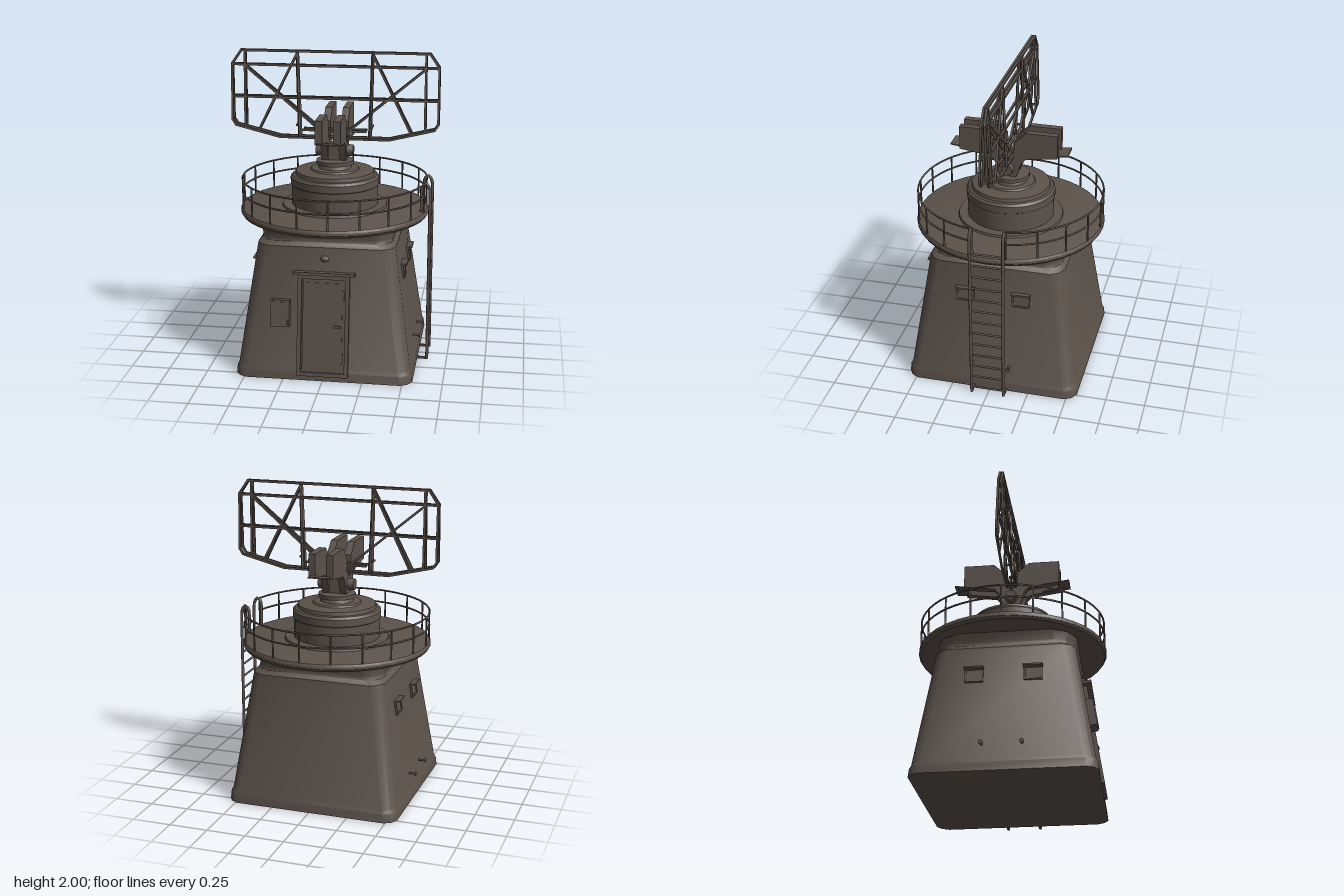
import * as THREE from 'three';
import { toCreasedNormals } from 'three/addons/utils/BufferGeometryUtils.js';

const paint = new THREE.MeshStandardMaterial({ color: 0x5c524b });
paint.name = 'dark brown grey';

const V = (x, y, z) => new THREE.Vector3(x, y, z);

function add(parent, geometry, name, x = 0, y = 0, z = 0) {
  const m = new THREE.Mesh(geometry, paint);
  m.name = name;
  m.position.set(x, y, z);
  parent.add(m);
  return m;
}

function group(parent, name) {
  const g = new THREE.Group();
  g.name = name;
  parent.add(g);
  return g;
}

const box = (parent, name, w, h, d, x, y, z) => add(parent, new THREE.BoxGeometry(w, h, d), name, x, y, z);

// Square bar between two points
function beam(parent, name, a, b, t) {
  const m = add(parent, new THREE.BoxGeometry(t, t, a.distanceTo(b) + t * 0.6), name);
  m.position.copy(a).lerp(b, 0.5);
  m.lookAt(b);
  return m;
}

function lathe(parent, name, points, segments) {
  const g = new THREE.LatheGeometry(points.map(p => new THREE.Vector2(p[0], p[1])), segments);
  return add(parent, toCreasedNormals(g, 0.6), name);
}

// Square tower with cut corners: rows of [height, half width, corner cut]
function towerGeometry(rows) {
  const pos = [], index = [];
  for (const [y, w, c] of rows) {
    for (let k = 0; k < 4; k++) {
      const a = k * Math.PI / 2, cs = Math.cos(a), sn = Math.sin(a);
      const corner = [[w, w - c], [w - c * 0.36, w - c * 0.36], [w - c, w]];
      for (const [x, z] of corner) pos.push(x * cs - z * sn, y, x * sn + z * cs);
    }
  }
  const n = 12;
  for (let r = 0; r < rows.length - 1; r++) {
    for (let i = 0; i < n; i++) {
      const a = r * n + i, b = r * n + (i + 1) % n;
      index.push(a, a + n, b, b, a + n, b + n);
    }
  }
  const top = (rows.length - 1) * n;
  for (let i = 1; i < n - 1; i++) {
    index.push(0, i, i + 1);
    index.push(top, top + i + 1, top + i);
  }
  const g = new THREE.BufferGeometry();
  g.setAttribute('position', new THREE.Float32BufferAttribute(pos, 3));
  g.setIndex(index);
  return toCreasedNormals(g, 0.6);
}

const SLOPE = Math.atan(0.11 / 0.76);
const wall = y => 0.545 - 0.11 * (y - 0.07) / 0.76;

// Group lying on a sloped wall, turned to one side of the tower
function onWall(parent, name, turn, x, y) {
  const side = group(parent, name);
  side.rotation.y = turn;
  const g = group(side, name + 'Mount');
  g.position.set(x, y, wall(y));
  g.rotation.x = -SLOPE;
  return g;
}

export function createModel() {
  const model = new THREE.Group();
  model.name = 'radarTower';

  // Tower and round platform
  add(model, towerGeometry([
    [0, 0.56, 0.07], [0.055, 0.555, 0.07], [0.075, 0.545, 0.07], [0.82, 0.437, 0.075],
    [0.84, 0.435, 0.08], [0.865, 0.412, 0.09], [0.885, 0.41, 0.1], [0.945, 0.435, 0.15],
  ]), 'towerBody');
  lathe(model, 'platform', [[0, 0.94], [0.575, 0.945], [0.595, 0.952], [0.606, 0.968], [0.606, 0.985],
    [0.598, 0.997], [0.585, 1.002], [0, 1.0]], 40);

  // Drum and turntable
  lathe(model, 'drum', [[0.34, 1.0], [0.335, 1.015], [0.278, 1.015], [0.278, 1.14], [0.285, 1.145], [0.285, 1.19],
    [0.272, 1.205], [0.255, 1.208], [0.25, 1.23], [0.235, 1.235], [0, 1.235]], 32);
  lathe(model, 'turntable', [[0.16, 1.232], [0.15, 1.245], [0.108, 1.248], [0.1, 1.268], [0.12, 1.273], [0.12, 1.298],
    [0.085, 1.305], [0, 1.305]], 24);

  // Door with frame, hood, lamp and cabinet
  const door = onWall(model, 'door', 0, 0, 0.35);
  box(door, 'doorPanel', 0.27, 0.6, 0.016, 0.005, 0, 0.004);
  box(door, 'doorInset', 0.23, 0.55, 0.01, 0.005, 0, 0.012);
  for (const s of [-1, 1]) box(door, 'doorJamb', 0.025, 0.64, 0.04, s * 0.15, 0, 0.005);
  box(door, 'doorSill', 0.32, 0.025, 0.04, 0, -0.31, 0.005);
  box(door, 'doorLintel', 0.32, 0.025, 0.04, 0, 0.31, 0.005);
  box(door, 'doorHood', 0.39, 0.018, 0.075, 0, 0.335, 0.02);
  box(door, 'doorHandle', 0.04, 0.015, 0.02, 0.09, 0, 0.022);
  for (const y of [-0.2, 0.2]) box(door, 'doorHinge', 0.012, 0.06, 0.015, 0.125, y, 0.018);
  const lamp = onWall(model, 'lamp', 0, 0, 0.77);
  const bulb = add(lamp, new THREE.SphereGeometry(0.028, 12, 8), 'lampBulb');
  bulb.scale.set(1, 0.7, 0.7);
  const cabinet = onWall(model, 'cabinet', 0, -0.27, 0.425);
  box(cabinet, 'cabinetBox', 0.12, 0.17, 0.06, 0, 0, 0.015);
  box(cabinet, 'cabinetDoor', 0.1, 0.15, 0.008, 0, 0, 0.047);

  // Vents with hoods and pegs on both side walls
  for (const s of [-1, 1]) {
    for (const z of [-0.18, 0.18]) {
      const vent = onWall(model, 'vent', s * Math.PI / 2, z, 0.64);
      box(vent, 'ventPane', 0.1, 0.075, 0.01, 0, 0, 0.002);
      for (const e of [-1, 1]) box(vent, 'ventSide', 0.01, 0.085, 0.02, e * 0.052, 0, 0.004);
      box(vent, 'ventSill', 0.11, 0.01, 0.02, 0, -0.042, 0.004);
      box(vent, 'ventHood', 0.12, 0.01, 0.05, 0, 0.044, 0.015);
    }
    for (const z of [-0.12, 0.12]) {
      const pin = add(model, new THREE.CylinderGeometry(0.007, 0.007, 0.06, 8), 'peg', s * 0.545, 0.17, z);
      pin.rotation.z = Math.PI / 2;
      const head = add(model, new THREE.CylinderGeometry(0.014, 0.014, 0.01, 8), 'pegHead', s * 0.572, 0.17, z);
      head.rotation.z = Math.PI / 2;
    }
  }

  // Railing, open at the ladder
  const railing = group(model, 'railing');
  const gap = 0.19, arc = Math.PI * 2 - gap * 2, R = 0.595;
  for (const y of [1.1, 1.183]) {
    const g = new THREE.TorusGeometry(R, 0.006, 6, 56, arc);
    g.rotateX(Math.PI / 2).rotateY(-gap);
    add(railing, g, 'rail', 0, y, 0);
  }
  for (let i = 0; i <= 18; i++) {
    const a = gap + arc * i / 18;
    add(railing, new THREE.CylinderGeometry(0.006, 0.006, 0.19, 6), 'railPost', R * Math.cos(a), 1.09, R * Math.sin(a));
  }

  // Ladder with hooped tops
  const ladder = group(model, 'ladder');
  for (const s of [-1, 1]) {
    const z = s * 0.105;
    const path = new THREE.CurvePath();
    const bend = new THREE.CatmullRomCurve3([V(0.622, 1.1, z), V(0.617, 1.155, z), V(0.595, 1.187, z), V(0.572, 1.165, z), V(0.568, 1.1, z)]);
    path.add(new THREE.LineCurve3(V(0.622, 0.005, z), V(0.622, 1.1, z)));
    path.add(bend);
    path.add(new THREE.LineCurve3(V(0.568, 1.1, z), V(0.568, 0.99, z)));
    add(ladder, new THREE.TubeGeometry(path, 60, 0.01, 8), 'ladderStringer');
    beam(ladder, 'ladderFoot', V(0.55, 0.008, z), V(0.625, 0.008, z), 0.014);
  }
  for (let i = 0; i < 13; i++) {
    const rung = add(ladder, new THREE.CylinderGeometry(0.007, 0.007, 0.21, 6), 'ladderRung', 0.62, 0.04 + i * 0.0825, 0);
    rung.rotation.x = Math.PI / 2;
  }

  // Yoke: two winged side plates, hub and feed tray
  const yoke = group(model, 'yoke');
  const half = [[0.05, 1.3], [0.065, 1.34], [0.085, 1.4], [0.115, 1.432], [0.315, 1.46], [0.315, 1.612], [0.115, 1.612], [0.04, 1.54], [0.035, 1.44]];
  const outline = [...half, ...half.slice().reverse().map(([z, y]) => [-z, y])];
  const plate = new THREE.ExtrudeGeometry(new THREE.Shape(outline.map(p => new THREE.Vector2(p[0], p[1]))), { depth: 0.045, bevelEnabled: false });
  plate.rotateY(Math.PI / 2);
  for (const s of [-1, 1]) {
    add(yoke, plate, 'wingPlate', s * 0.0575 - 0.0225, 0, 0);
    const hub = add(yoke, new THREE.CylinderGeometry(0.036, 0.04, 0.04, 16), 'hub', s * 0.1, 1.36, 0);
    hub.rotation.z = -s * Math.PI / 2;
    beam(yoke, 'feedArm', V(s * 0.03, 1.452, s * 0.2), V(s * 0.03, 1.475, s * 0.37), 0.01);
    const tray = box(yoke, 'feedTray', 0.125, 0.008, 0.08, 0, 1.472, s * 0.34);
    tray.rotation.x = -s * 0.12;
  }
  box(yoke, 'yokeBlock', 0.08, 0.11, 0.1, 0, 1.35, 0);

  // Antenna: two mirrored truss layers, spreading apart towards the bottom
  const antenna = group(model, 'antenna');
  const depth = y => 0.008 + (2 - y) * 0.035;
  const rim = [[-0.6, 1.99], [0.6, 1.99], [0.658, 1.905], [0.658, 1.545], [0.635, 1.51], [0.35, 1.44],
    [-0.35, 1.44], [-0.635, 1.51], [-0.658, 1.545], [-0.658, 1.905]];
  const bars = [[-0.658, 1.695, 0.658, 1.695], [-0.655, 1.9, 0.655, 1.9], [-0.2, 1.49, 0.2, 1.49]];
  for (const s of [-1, 1]) {
    bars.push([s * 0.575, 1.985, s * 0.575, 1.5], [s * 0.24, 1.985, s * 0.225, 1.445],
      [s * 0.57, 1.89, s * 0.08, 1.48], [s * 0.245, 1.97, s * 0.49, 1.48]);
  }
  for (const f of [-1, 1]) {
    const at = (x, y) => V(x, y, f * depth(y));
    rim.forEach((p, i) => {
      const q = rim[(i + 1) % rim.length];
      beam(antenna, 'antennaRim', at(...p), at(...q), 0.014);
    });
    for (const [x1, y1, x2, y2] of bars) beam(antenna, 'antennaBar', at(x1, y1), at(x2, y2), 0.014);
  }
  // Ties joining the two layers
  for (const x of [-0.575, -0.24, 0.24, 0.575]) {
    for (const y of [1.52, 1.695, 1.9]) beam(antenna, 'antennaTie', V(x, y, -depth(y)), V(x, y, depth(y)), 0.012);
  }
  for (const s of [-1, 1]) beam(antenna, 'antennaStrut', V(s * 0.06, 1.4, 0), V(s * 0.13, 1.49, 0), 0.016);

  return model;
}
